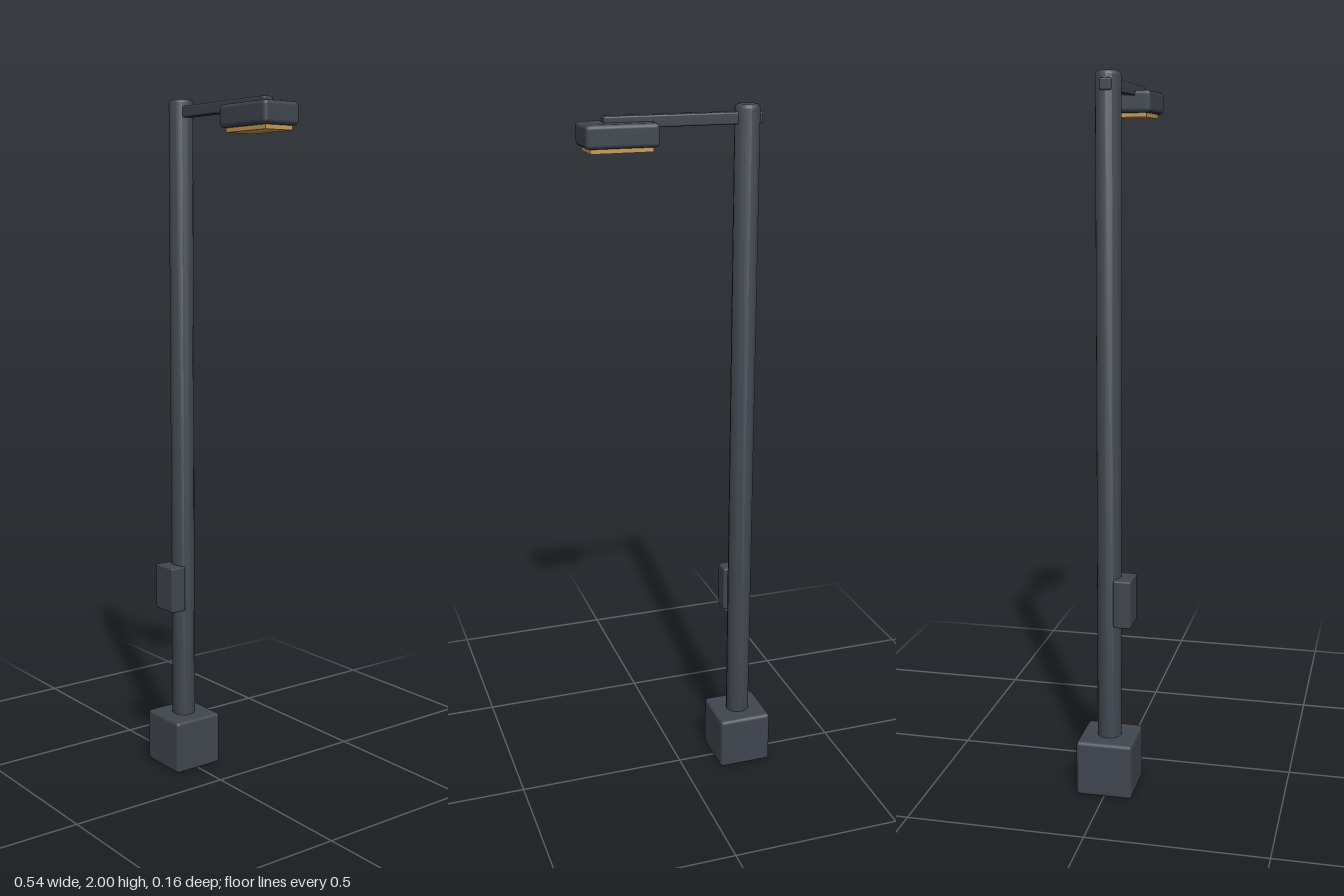
import * as THREE from 'three';
import { toCreasedNormals } from 'three/addons/utils/BufferGeometryUtils.js';
import { RoundedBoxGeometry } from 'three/addons/geometries/RoundedBoxGeometry.js';

const POLE_X = -0.19;

export function createModel() {
  const model = new THREE.Group();
  model.name = 'streetLamp';

  const metal = new THREE.MeshStandardMaterial({ color: 0x40464f });
  metal.name = 'dark grey metal';
  const amber = new THREE.MeshStandardMaterial({ color: 0xc79a55 });
  amber.name = 'amber lens';

  function add(name, geometry, material, x, y, z) {
    const mesh = new THREE.Mesh(geometry, material);
    mesh.name = name;
    mesh.position.set(x, y, z);
    model.add(mesh);
  }

  // Box with softened edges, given by its minimum and maximum corners
  function softBox(name, [x0, y0, z0], [x1, y1, z1], radius) {
    const geometry = new RoundedBoxGeometry(x1 - x0, y1 - y0, z1 - z0, 2, radius);
    add(name, geometry, metal, (x0 + x1) / 2, (y0 + y1) / 2, (z0 + z1) / 2);
  }

  // Footing block
  softBox('base', [-0.27, 0, -0.08], [-0.11, 0.16, 0.08], 0.01);

  // Round pole with a bevelled top edge
  const profile = [[0, 0.1], [0.035, 0.1], [0.035, 1.99], [0.031, 1.997], [0.025, 2], [0, 2]]
    .map(([r, y]) => new THREE.Vector2(r, y));
  add('pole', toCreasedNormals(new THREE.LatheGeometry(profile, 12), 0.65), metal, POLE_X, 0, 0);

  // Service box on the front of the pole
  softBox('serviceBox', [-0.235, 0.495, 0.02], [-0.148, 0.632, 0.07], 0.005);

  // Arm passing through the pole and resting on the lamp head
  softBox('arm', [-0.23, 1.948, -0.016], [0.21, 1.98, 0.016], 0.005);

  // Lamp head with the lens underneath
  softBox('lampHead', [0.07, 1.902, -0.06], [0.27, 1.964, 0.06], 0.012);
  add('lens', new THREE.BoxGeometry(0.17, 0.014, 0.09), amber, 0.17, 1.897, 0);

  return model;
}
